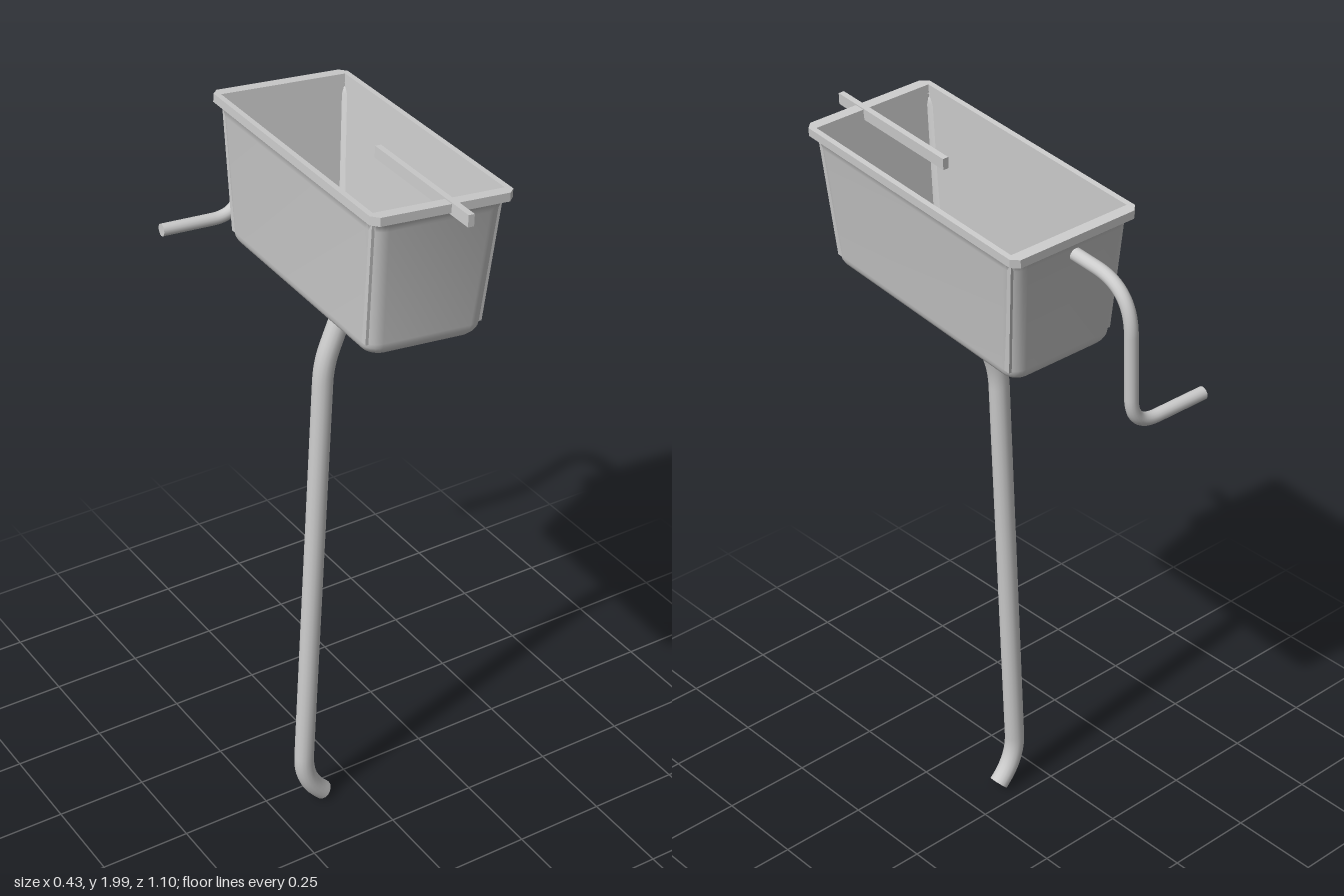
import * as THREE from 'three';
import { mergeGeometries, toCreasedNormals } from 'three/addons/utils/BufferGeometryUtils.js';

const material = new THREE.MeshStandardMaterial({ color: 0xcccccc, side: THREE.DoubleSide });

function addMesh(parent, name, geometry) {
  const mesh = new THREE.Mesh(geometry, material);
  mesh.name = name;
  parent.add(mesh);
  return mesh;
}

// Rounded rectangle loop at height y; steps = segments per corner
function rectLoop([hw, hl, r, y], steps) {
  const pts = [];
  for (let corner = 0; corner < 4; corner++) {
    const sx = corner === 0 || corner === 3 ? 1 : -1;
    const sz = corner < 2 ? 1 : -1;
    for (let i = 0; i <= steps; i++) {
      const a = (corner + i / steps) * Math.PI / 2;
      pts.push([sx * (hw - r) + r * Math.cos(a), y, sz * (hl - r) + r * Math.sin(a)]);
    }
  }
  return pts;
}

// Skin a stack of rounded rectangles
function loft(sections, steps) {
  const loops = sections.map((s) => rectLoop(s, steps));
  const n = loops[0].length;
  const index = [];
  for (let j = 0; j < loops.length - 1; j++) {
    for (let i = 0; i < n; i++) {
      const a = j * n + i, c = j * n + (i + 1) % n;
      index.push(a, a + n, c, c, a + n, c + n);
    }
  }
  const geo = new THREE.BufferGeometry();
  geo.setAttribute('position', new THREE.Float32BufferAttribute(loops.flat(2), 3));
  geo.setIndex(index);
  return toCreasedNormals(geo, 0.6);
}

// Capped pipe along a polyline; each point is [x, y, z, bendLength]
function pipe(points, radius, segments) {
  const v = points.map((p) => new THREE.Vector3(p[0], p[1], p[2]));
  const path = new THREE.CurvePath();
  let last = v[0];
  for (let i = 1; i < v.length - 1; i++) {
    const toward = (q) => v[i].clone().add(q.clone().sub(v[i]).setLength(points[i][3]));
    const a = toward(v[i - 1]), b = toward(v[i + 1]);
    path.add(new THREE.LineCurve3(last, a));
    path.add(new THREE.QuadraticBezierCurve3(a, v[i], b));
    last = b;
  }
  path.add(new THREE.LineCurve3(last, v[v.length - 1]));
  const parts = [new THREE.TubeGeometry(path, segments, radius, 16)];
  for (const t of [0, 1]) {
    const dir = path.getTangentAt(t).multiplyScalar(t ? 1 : -1);
    const cap = new THREE.CircleGeometry(radius, 16);
    cap.applyQuaternion(new THREE.Quaternion().setFromUnitVectors(new THREE.Vector3(0, 0, 1), dir));
    cap.translate(...path.getPointAt(t).toArray());
    parts.push(cap);
  }
  return mergeGeometries(parts);
}

export function createModel() {
  const model = new THREE.Group();
  model.name = 'cistern';

  // Tank, slightly turned and tilted; its origin is the middle of the rim
  const tank = new THREE.Group();
  tank.name = 'tank';
  tank.position.set(0.002, 1.972, 0.06);
  tank.rotation.set(-0.043, -0.068, -0.06, 'YXZ');
  model.add(tank);

  // Outer shell with rounded bottom edge: half width, half length, corner radius, height
  const shell = [[0, 0, 0, -0.385], [0.118, 0.323, 0.03, -0.385]];
  for (let i = 1; i <= 5; i++) {
    const a = (i / 5) * Math.PI / 2;
    const out = 0.038 * Math.sin(a);
    shell.push([0.118 + out, 0.323 + out, 0.03 + 0.01 * Math.sin(a), -0.347 - 0.038 * Math.cos(a)]);
  }
  shell.push([0.171, 0.39, 0.04, -0.05], [0.174, 0.395, 0.04, -0.034], [0.181, 0.405, 0.032, -0.022]);
  addMesh(tank, 'tankShell', loft(shell, 6));

  // Rim with clipped corners, and the sharp-cornered inside
  addMesh(tank, 'tankRimAndInside', loft([
    [0.172, 0.39, 0.018, -0.022],
    [0.186, 0.412, 0.018, -0.022],
    [0.186, 0.412, 0.018, 0],
    [0.171, 0.381, 0, 0],
    [0.155, 0.345, 0, -0.35],
    [0, 0, 0, -0.35],
  ], 1));

  // Flat lever resting across the front rim
  const lever = addMesh(tank, 'lever', new THREE.BoxGeometry(0.016, 0.03, 0.428));
  lever.position.set(0.022, -0.012, 0.271);

  // Long pipe running down from the tank floor
  addMesh(model, 'flushPipe', pipe([
    [-0.026, 1.605, 0.062],
    [-0.032, 1.54, 0.06, 0.05],
    [-0.09, 1.38, 0.05, 0.05],
    [-0.168, 0.09, 0.06, 0.08],
    [-0.105, 0.027, 0.06],
  ], 0.027, 90));

  // Thin pipe leaving the back of the tank, dropping and turning sideways
  addMesh(model, 'supplyPipe', pipe([
    [0.012, 1.89, -0.315],
    [0.022, 1.878, -0.518, 0.12],
    [0.01, 1.51, -0.522, 0.08],
    [-0.215, 1.52, -0.535],
  ], 0.017, 90));

  return model;
}
